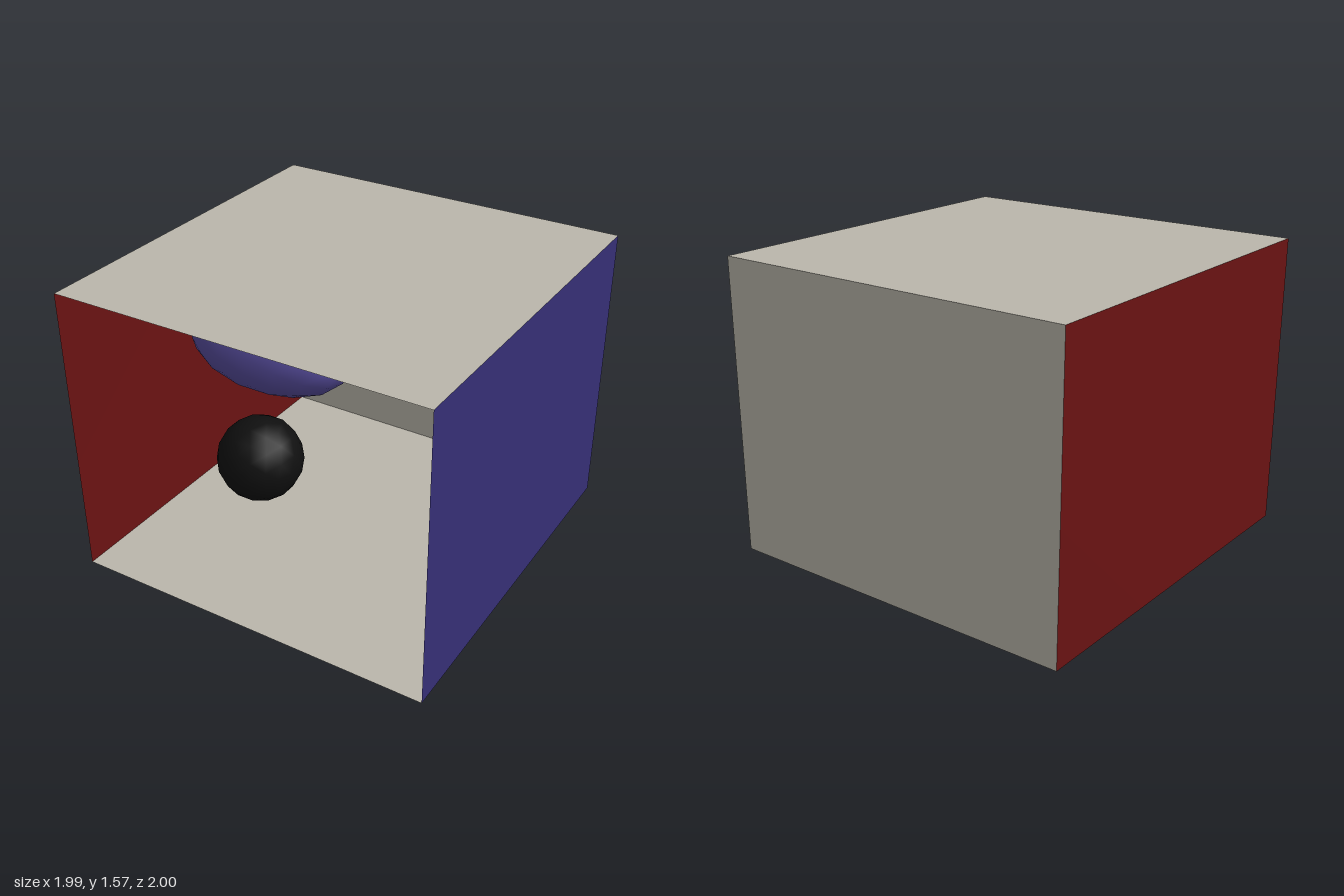
import * as THREE from 'three';

const W = 0.994, H = 1.567, D = 1;
// The wall on the -x side leans in slightly at the floor
const FLOOR_FRONT = -0.983, FLOOR_BACK = -0.971;

const paint = (color, side = THREE.FrontSide) => {
  const m = new THREE.MeshStandardMaterial({ side });
  m.color.set(color);
  return m;
};

// Thin four-cornered panel, corners given in order around the edge
function panel(name, material, ...corners) {
  const g = new THREE.BufferGeometry();
  g.setAttribute('position', new THREE.Float32BufferAttribute(corners.flat(), 3));
  g.setIndex([0, 1, 2, 0, 2, 3]);
  g.computeVertexNormals();
  const mesh = new THREE.Mesh(g, material);
  mesh.name = name;
  return mesh;
}

// Coarse smooth-shaded ball, stretched by its three radii
function ball(name, color, radii, position) {
  const mesh = new THREE.Mesh(new THREE.IcosahedronGeometry(1, 2), paint(color));
  mesh.name = name;
  mesh.scale.set(...radii);
  mesh.position.set(...position);
  return mesh;
}

export function createModel() {
  const model = new THREE.Group();
  model.name = 'openRoom';

  const white = paint(0xbab6ab, THREE.DoubleSide);
  const red = paint(0x6a1313, THREE.DoubleSide);
  const blue = paint(0x362f76, THREE.DoubleSide);

  // Corners of the room, open towards +z
  const floorFL = [W, 0, D], floorBL = [W, 0, -D];
  const floorFR = [FLOOR_FRONT, 0, D], floorBR = [FLOOR_BACK, 0, -D];
  const topFL = [W, H, D], topBL = [W, H, -D];
  const topFR = [-W, H, D], topBR = [-W, H, -D];

  model.add(
    panel('floor', white, floorFR, floorFL, floorBL, floorBR),
    panel('ceiling', white, topFR, topBR, topBL, topFL),
    panel('backWall', white, floorBR, floorBL, topBL, topBR),
    panel('rightWall', red, floorFR, floorBR, topBR, topFR),
    panel('leftWall', blue, floorFL, topFL, topBL, floorBL),
  );

  // Objects inside the room
  model.add(
    ball('blackBall', 0x0f0f0f, [0.246, 0.246, 0.246], [-0.57, 0.25, 0.025]),
    ball('floatingEllipsoid', 0x544a98, [0.484, 0.248, 0.248], [-0.475, 0.985, 0.03]),
  );
  return model;
}
